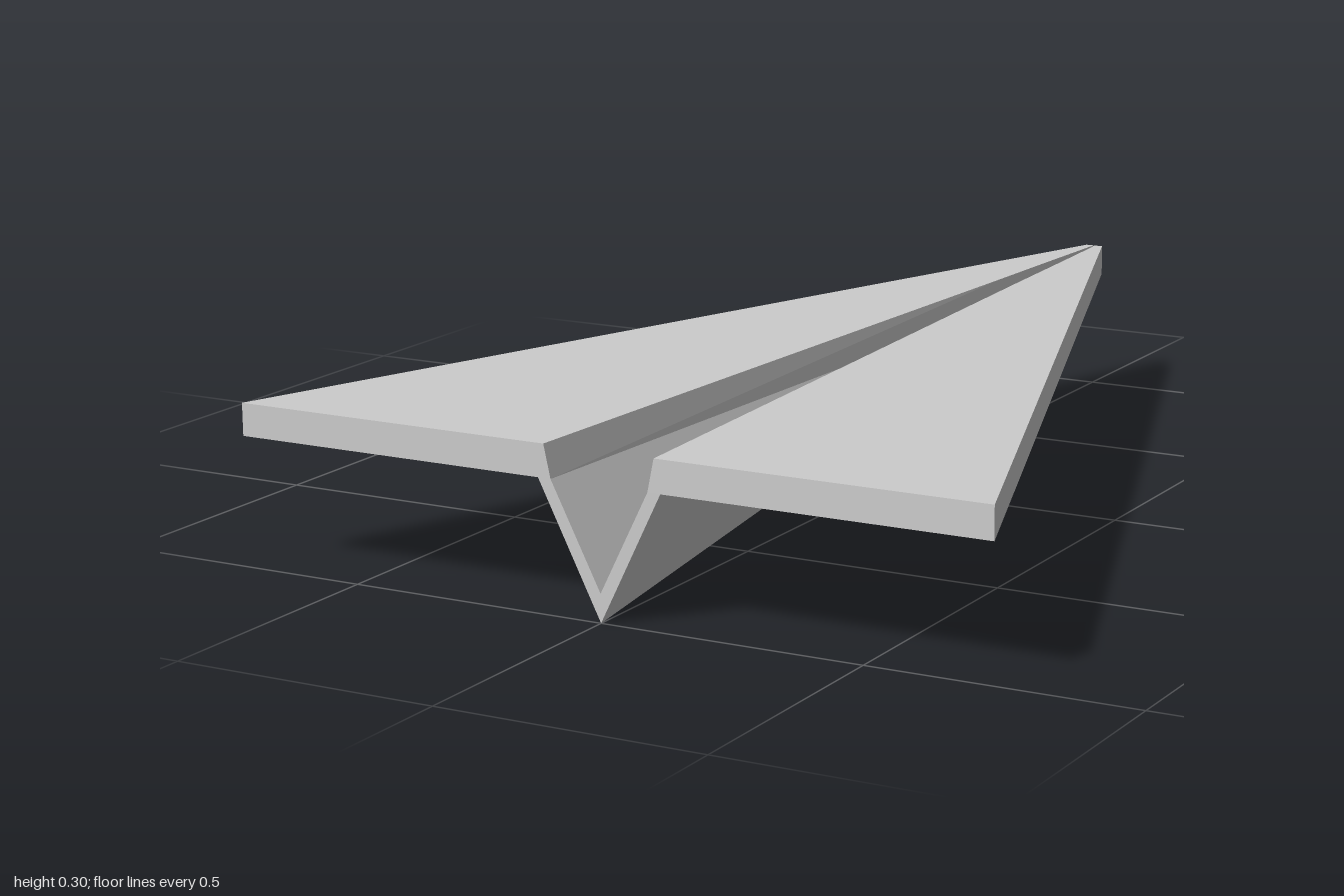
import * as THREE from 'three';

const TOP = 0.3, UNDER = 0.24;

// Cross-section at z: wings, outer keel V and inner groove, counter-clockwise seen from +z
function section([z, groove, kinkX, kinkY, floor]) {
  const t = (z + 1) / 2; // 0 at the nose, 1 at the open tail
  const wing = THREE.MathUtils.lerp(0.018, 0.735, t);
  const half = [
    [0.12 * t, UNDER], [wing, UNDER], [wing, TOP], [groove, TOP], [kinkX, kinkY],
  ];
  const mirrored = half.map(([x, y]) => [-x, y]).reverse();
  const outline = [[0, THREE.MathUtils.lerp(UNDER, 0, t)], ...half, [0, floor], ...mirrored];
  return outline.map(([x, y]) => new THREE.Vector3(x, y, z));
}

// Solid skinned over the sections, with flat ends
function loft(rings) {
  const pts = [];
  const tri = (...v) => v.forEach((p) => pts.push(p.x, p.y, p.z));
  for (let i = 0; i < rings.length - 1; i++) {
    const front = rings[i], back = rings[i + 1], n = front.length;
    for (let j = 0; j < n; j++) {
      const k = (j + 1) % n;
      tri(front[j], back[j], back[k]);
      tri(front[j], back[k], front[k]);
    }
  }
  const tail = rings[0];
  const flat = tail.map((p) => new THREE.Vector2(p.x, p.y));
  for (const [a, b, c] of THREE.ShapeUtils.triangulateShape(flat, [])) tri(tail[a], tail[b], tail[c]);
  // Blunt nose: rectangle between the four wing corners
  const nose = rings[rings.length - 1];
  const [a, b, c, d] = [nose[2], nose[3], nose[9], nose[10]];
  tri(a, c, b);
  tri(a, d, c);

  const geometry = new THREE.BufferGeometry();
  geometry.setAttribute('position', new THREE.Float32BufferAttribute(pts, 3));
  geometry.computeVertexNormals();
  return geometry;
}

export function createModel() {
  const group = new THREE.Group();
  group.name = 'paperPlane';
  // z, groove half width, fold half width, fold height, groove floor height
  const stations = [
    [1, 0.108, 0.095, 0.24, 0.052],
    [-0.58, 0.023, 0.015, 0.245, 0.236],
    [-0.81, 0.012, 0.008, 0.264, 0.26],
    [-0.98, 0.003, 0.002, 0.285, 0.28],
    [-1, 0, 0, TOP, TOP],
  ];
  const material = new THREE.MeshStandardMaterial({ color: 0xcccccc, flatShading: true });
  const body = new THREE.Mesh(loft(stations.map(section)), material);
  body.name = 'foldedWingsAndKeel';
  group.add(body);
  return group;
}
